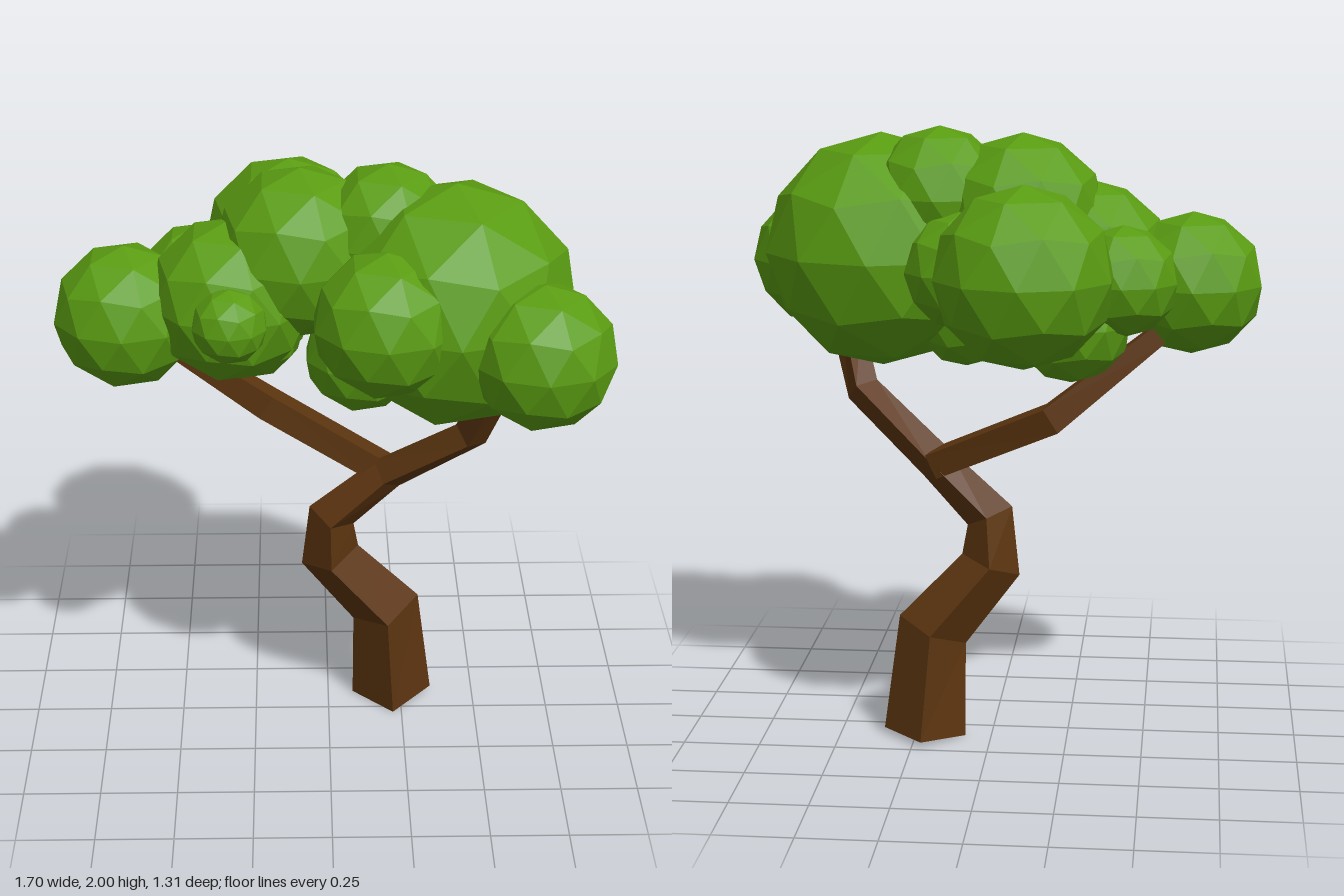
import * as THREE from 'three';

const bark = new THREE.MeshStandardMaterial({ color: 0x5c3510, flatShading: true });
const leaf = new THREE.MeshStandardMaterial({ color: 0x5a9c12, flatShading: true });

// Four-sided limb through stations [x, y, z, half width]; phase turns the section
function limb(name, stations, phase) {
  const centres = stations.map(s => new THREE.Vector3(s[0], s[1], s[2]));
  const last = centres.length - 1;
  const rings = centres.map((c, i) => {
    const t = new THREE.Vector3();
    if (i > 0) t.add(c.clone().sub(centres[i - 1]).normalize());
    if (i < last) t.add(centres[i + 1].clone().sub(c).normalize());
    t.normalize();
    const side = new THREE.Vector3(0, 0, 1).cross(t).normalize();
    const front = t.clone().cross(side);
    return [0, 1, 2, 3].map(k => {
      const a = phase + k * Math.PI / 2;
      return c.clone()
        .addScaledVector(side, Math.cos(a) * stations[i][3])
        .addScaledVector(front, Math.sin(a) * stations[i][3]);
    });
  });
  const pos = [];
  const quad = (a, b, c, d) => [a, b, c, a, c, d].forEach(p => pos.push(p.x, p.y, p.z));
  for (let i = 0; i < last; i++) {
    for (let k = 0; k < 4; k++) {
      const n = (k + 1) % 4;
      quad(rings[i][k], rings[i][n], rings[i + 1][n], rings[i + 1][k]);
    }
  }
  quad(...[...rings[0]].reverse());
  quad(...rings[last]);
  const geo = new THREE.BufferGeometry();
  geo.setAttribute('position', new THREE.Float32BufferAttribute(pos, 3));
  geo.computeVertexNormals();
  const mesh = new THREE.Mesh(geo, bark);
  mesh.name = name;
  return mesh;
}

export function createModel() {
  const tree = new THREE.Group();
  tree.name = 'tree';

  // Crooked trunk running on into the right-hand branch
  tree.add(limb('trunk', [
    [0.22, 0.012, -0.10, 0.135],
    [0.195, 0.36, -0.075, 0.118],
    [0.005, 0.58, -0.05, 0.1],
    [0.01, 0.74, -0.03, 0.08],
    [0.19, 0.91, 0.0, 0.062],
    [0.45, 1.12, 0.14, 0.058],
    [0.52, 1.34, 0.25, 0.055],
  ], 0));

  // Long branch reaching out to the other side
  tree.add(limb('sideBranch', [
    [0.19, 0.91, -0.02, 0.06],
    [-0.2, 1.095, -0.15, 0.062],
    [-0.53, 1.36, -0.09, 0.045],
  ], Math.PI / 4));

  // Foliage balls: x, y, z, radius
  const ball = new THREE.IcosahedronGeometry(1, 1);
  ball.rotateZ(-Math.atan(2 / (1 + Math.sqrt(5)))); // a corner points straight up
  const foliage = new THREE.Group();
  foliage.name = 'foliage';
  [
    [-0.636, 1.505, 0.06, 0.23],
    [-0.305, 1.57, 0.09, 0.26],
    [-0.305, 1.58, 0.33, 0.117],
    [-0.09, 1.71, 0.05, 0.272],
    [-0.125, 1.58, -0.375, 0.284],
    [0.383, 1.585, 0.165, 0.385],
    [0.633, 1.518, 0.425, 0.228],
    [0.166, 1.605, 0.38, 0.227],
    [0.18, 1.78, 0.07, 0.22],
    [0.1, 1.39, 0.12, 0.18],
    [0.09, 1.56, -0.115, 0.19],
    [-0.26, 1.4, -0.13, 0.19],
    [-0.42, 1.54, -0.16, 0.177],
  ].forEach(([x, y, z, r], i) => {
    const mesh = new THREE.Mesh(ball, leaf);
    mesh.name = `leafBall${i + 1}`;
    mesh.position.set(x, y, z);
    mesh.scale.setScalar(r);
    foliage.add(mesh);
  });
  tree.add(foliage);
  return tree;
}
